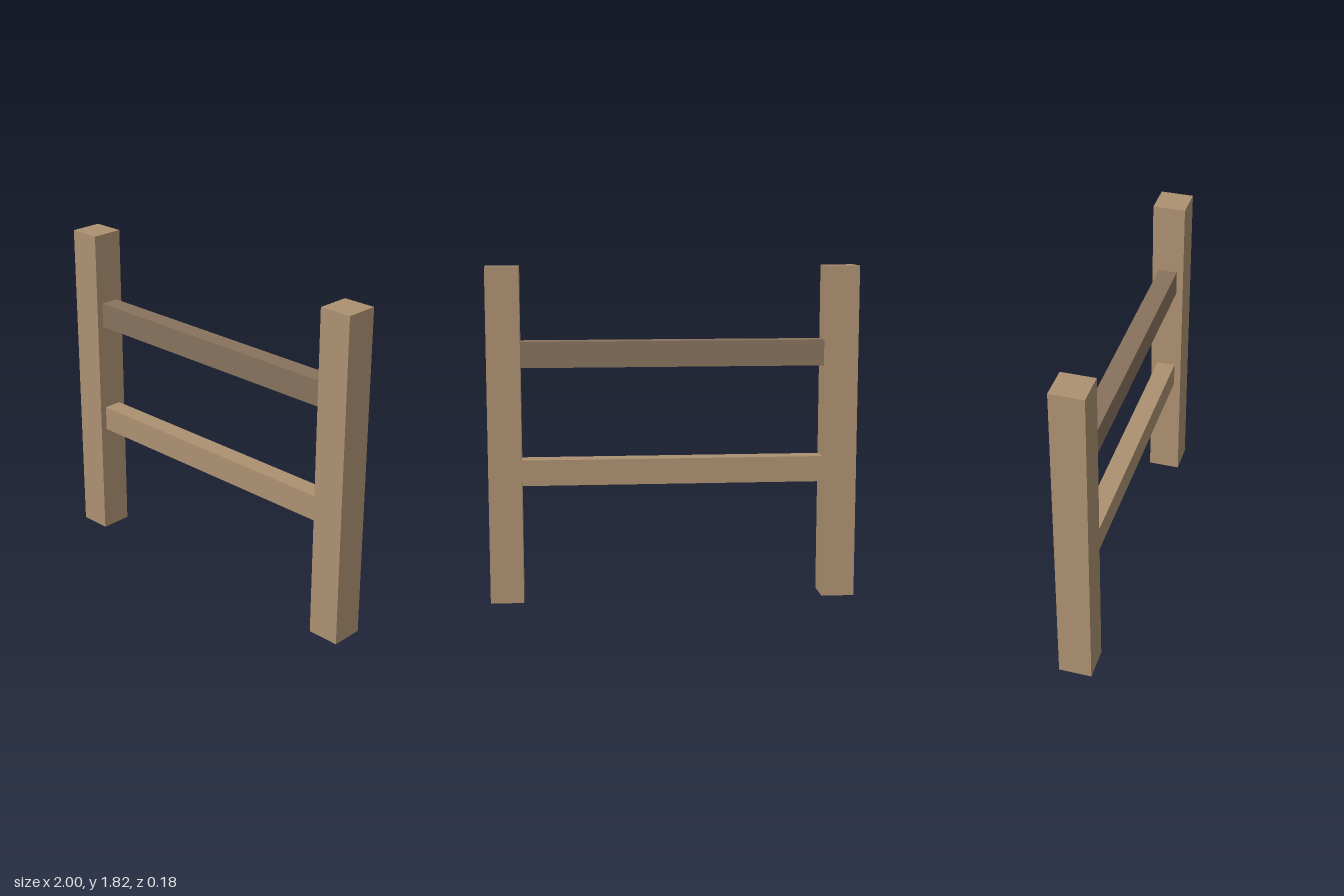
import * as THREE from 'three';

const POST = { width: 0.18, height: 1.82, x: 0.91 };
const RAIL = { length: 1.64, height: 0.14, depth: 0.105 };

export function createModel() {
  const group = new THREE.Group();
  group.name = 'fence';

  const lightWood = new THREE.MeshStandardMaterial({ color: 0xad9172, flatShading: true });
  const darkWood = new THREE.MeshStandardMaterial({ color: 0x87725d, flatShading: true });

  const addBox = (name, size, position, material) => {
    const mesh = new THREE.Mesh(new THREE.BoxGeometry(...size), material);
    mesh.name = name;
    mesh.position.set(...position);
    group.add(mesh);
  };

  // Square posts, mirrored left and right
  for (const side of [1, -1]) {
    addBox(side > 0 ? 'leftPost' : 'rightPost',
      [POST.width, POST.height, POST.width], [side * POST.x, POST.height / 2, 0], lightWood);
  }

  // Two rails spanning between the posts
  const railSize = [RAIL.length, RAIL.height, RAIL.depth];
  addBox('lowerRail', railSize, [0, 0.71, 0], lightWood);
  addBox('upperRail', railSize, [0, 1.35, 0], darkWood);

  return group;
}
